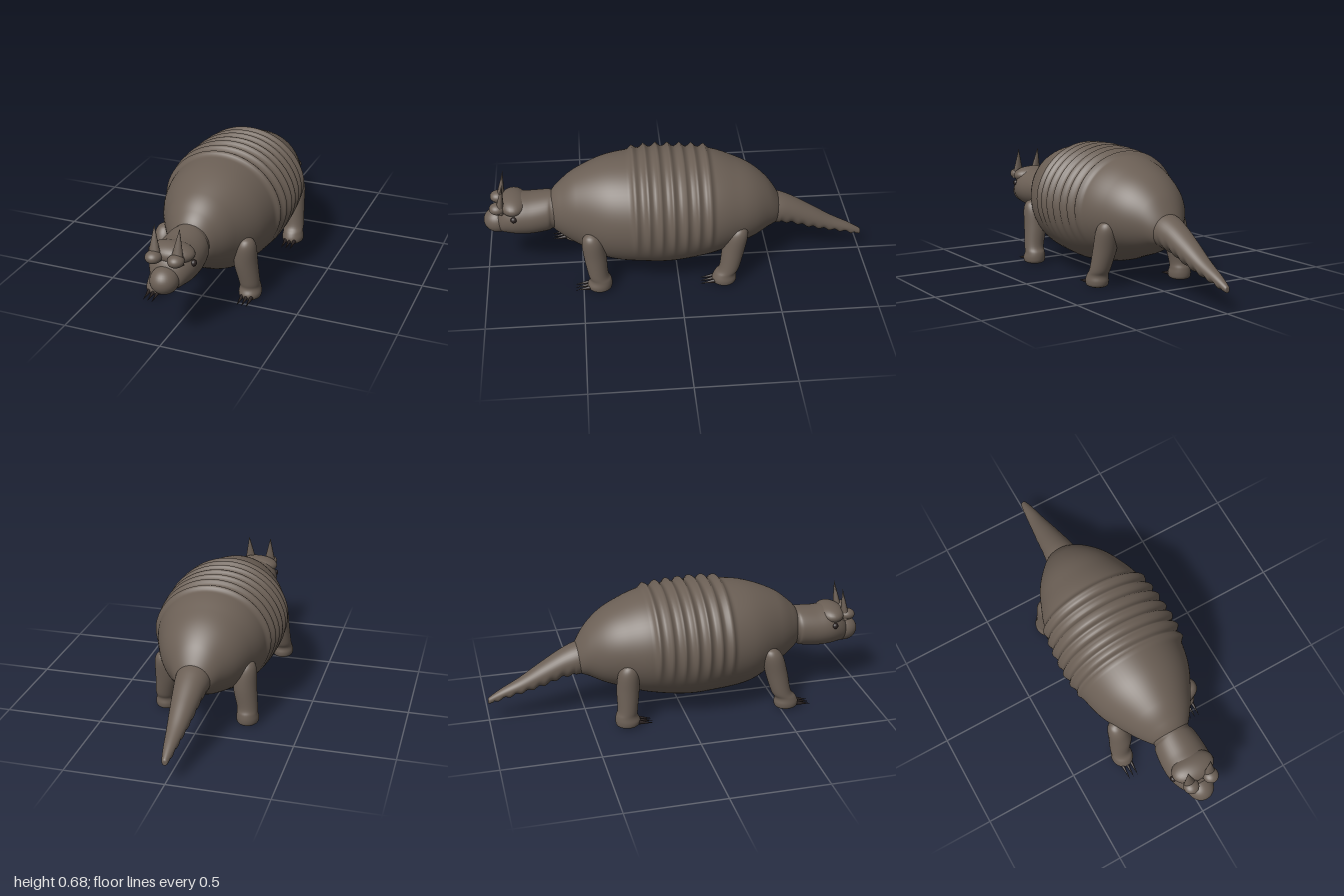
import * as THREE from 'three';

const hide = new THREE.MeshStandardMaterial({ color: 0x6b5f55 });
hide.name = 'hide';
const dark = new THREE.MeshStandardMaterial({ color: 0x2c2423 });
dark.name = 'dark horn';

// Smooth skin over elliptical sections [s, centre1, centre2, radius1, radius2].
// axis 'z': rings in the xy plane; axis 'y': rings in the xz plane.
// bump(s, sinAngle) adds relief along the radius.
function loft(sections, axis, steps = 8, sides = 48, bump = () => 0) {
  const pos = [], idx = [], last = sections.length - 1;
  const at = (i) => sections[Math.max(0, Math.min(last, i))];
  const put = (s, a, b) => axis === 'z' ? pos.push(a, b, s) : pos.push(a, s, b);
  const rings = [];
  for (let i = 0; i < last; i++)
    for (let k = 0; k < steps + (i === last - 1 ? 1 : 0); k++) {
      const t = k / steps;
      rings.push(at(i).map((p1, c) => {
        const p0 = at(i - 1)[c], p2 = at(i + 1)[c], p3 = at(i + 2)[c];
        return 0.5 * (2 * p1 + (p2 - p0) * t + (2 * p0 - 5 * p1 + 4 * p2 - p3) * t * t
          + (3 * p1 - p0 - 3 * p2 + p3) * t * t * t);
      }));
    }
  const flip = axis === 'z' ? 1 : -1;
  for (const [s, c1, c2, r1, r2] of rings)
    for (let j = 0; j < sides; j++) {
      const a = j / sides * Math.PI * 2, sn = Math.sin(a), h = bump(s, sn);
      put(s, c1 + (r1 + h) * Math.cos(a), c2 + flip * (r2 + h) * sn);
    }
  for (let i = 0; i < rings.length - 1; i++)
    for (let j = 0; j < sides; j++) {
      const a = i * sides + j, b = i * sides + (j + 1) % sides;
      idx.push(a, b, b + sides, a, b + sides, a + sides);
    }
  // end caps
  const n = rings.length, end = (n - 1) * sides;
  put(rings[0][0], rings[0][1], rings[0][2]);
  put(rings[n - 1][0], rings[n - 1][1], rings[n - 1][2]);
  for (let j = 0; j < sides; j++) {
    const k = (j + 1) % sides;
    idx.push(n * sides, k, j, n * sides + 1, end + j, end + k);
  }
  const g = new THREE.BufferGeometry();
  g.setAttribute('position', new THREE.Float32BufferAttribute(pos, 3));
  g.setIndex(idx);
  g.computeVertexNormals();
  return g;
}

export function createModel() {
  const model = new THREE.Group();
  const add = (name, geometry, material = hide, parent = model) => {
    const m = new THREE.Mesh(geometry, material);
    m.name = name;
    parent.add(m);
    return m;
  };
  const blob = (name, p, r, material = hide) => {
    const m = add(name, new THREE.SphereGeometry(1, 32, 20), material);
    m.position.set(...p);
    m.scale.set(...r);
    return m;
  };
  // tapering spike from one point to another
  const spike = (name, from, to, rx, rz, material, parent) => {
    const a = new THREE.Vector3(...from), d = new THREE.Vector3(...to).sub(a);
    const g = new THREE.ConeGeometry(1, 1, 20, 1).translate(0, 0.5, 0).scale(rx, d.length(), rz);
    const m = add(name, g, material, parent);
    m.position.copy(a);
    m.quaternion.setFromUnitVectors(new THREE.Vector3(0, 1, 0), d.normalize());
    return m;
  };

  // shell with seven raised bands that fade out down the flanks
  const bands = (z, sn) => {
    const u = (z - 0.032) / 0.0625;
    if (Math.abs(u) > 3.5) return 0;
    const fade = THREE.MathUtils.smoothstep(sn, -0.55, 0.25);
    return 0.022 * fade * (1 - Math.abs(Math.sin(Math.PI * u)));
  };
  add('body', loft([
    [-0.55, 0, 0.315, 0.04, 0.04], [-0.53, 0, 0.318, 0.085, 0.085], [-0.477, 0, 0.345, 0.135, 0.135],
    [-0.4, 0, 0.36, 0.195, 0.187], [-0.31, 0, 0.368, 0.24, 0.226], [-0.18, 0, 0.37, 0.285, 0.27],
    [0, 0, 0.363, 0.306, 0.294], [0.15, 0, 0.365, 0.306, 0.295], [0.354, 0, 0.365, 0.267, 0.274],
    [0.515, 0, 0.374, 0.185, 0.204], [0.6, 0, 0.37, 0.128, 0.145], [0.645, 0, 0.365, 0.085, 0.1],
    [0.66, 0, 0.365, 0.04, 0.05],
  ], 'z', 22, 72, bands));

  // tail with shallow rings underneath
  const rings = (z, sn) => z < -0.55 && z > -0.97
    ? 0.006 * Math.max(0, -sn) * Math.sin(z * 2 * Math.PI / 0.06) : 0;
  add('tail', loft([
    [-1, 0, 0.115, 0.008, 0.01], [-0.99, 0, 0.118, 0.016, 0.018], [-0.93, 0, 0.146, 0.028, 0.027],
    [-0.83, 0, 0.185, 0.043, 0.041], [-0.72, 0, 0.235, 0.06, 0.061], [-0.61, 0, 0.287, 0.075, 0.074],
    [-0.53, 0, 0.308, 0.087, 0.086], [-0.42, 0, 0.325, 0.09, 0.09],
  ], 'z', 16, 40, rings));

  // head
  add('head', loft([
    [0.56, 0, 0.365, 0.1, 0.1], [0.64, 0, 0.365, 0.1, 0.102], [0.67, 0, 0.36, 0.112, 0.106],
    [0.75, 0, 0.352, 0.121, 0.108], [0.82, 0, 0.352, 0.119, 0.108], [0.87, 0, 0.345, 0.104, 0.095],
    [0.91, 0, 0.33, 0.078, 0.074], [0.93, 0, 0.325, 0.04, 0.04],
  ], 'z'));
  blob('snout', [0, 0.315, 0.925], [0.069, 0.066, 0.075]);
  blob('brow', [0, 0.42, 0.84], [0.114, 0.05, 0.075]);
  for (const s of [1, -1]) {
    const side = s > 0 ? 'left' : 'right';
    blob(side + 'EarBase', [s * 0.056, 0.42, 0.92], [0.04, 0.03, 0.042]);
    spike(side + 'Ear', [s * 0.056, 0.4, 0.91], [s * 0.063, 0.57, 0.885], 0.036, 0.024, hide);
    blob(side + 'Eye', [s * 0.108, 0.38, 0.838], [0.015, 0.016, 0.016], dark);
  }

  // legs in mid stride: side, z at the top, z at the foot
  const legs = [
    ['frontLeftLeg', 1, 0.45, 0.41], ['frontRightLeg', -1, 0.45, 0.53],
    ['backLeftLeg', 1, -0.31, -0.24], ['backRightLeg', -1, -0.3, -0.32],
  ];
  for (const [name, s, top, foot] of legs) {
    const leg = new THREE.Group();
    leg.name = name;
    model.add(leg);
    const at = (y) => foot + (top - foot) * y / 0.34;
    add(name + 'Limb', loft([
      [0.002, s * 0.225, foot + 0.005, 0.03, 0.035], [0.012, s * 0.225, foot + 0.005, 0.052, 0.058],
      [0.035, s * 0.225, foot + 0.005, 0.057, 0.064], [0.065, s * 0.224, foot, 0.053, 0.056],
      [0.1, s * 0.222, at(0.1), 0.053, 0.052], [0.2, s * 0.208, at(0.2), 0.06, 0.058],
      [0.29, s * 0.212, at(0.29), 0.052, 0.054], [0.33, s * 0.215, at(0.33), 0.035, 0.036],
      [0.345, s * 0.215, at(0.345), 0.01, 0.01],
    ], 'y', 6, 32), hide, leg);
    for (const k of [-1, 0, 1]) {
      const x = s * 0.225 + k * 0.024;
      spike(name + 'Claw', [x, 0.027, foot + 0.045], [x, 0.012, foot + 0.135], 0.011, 0.014, dark, leg);
    }
  }
  return model;
}
